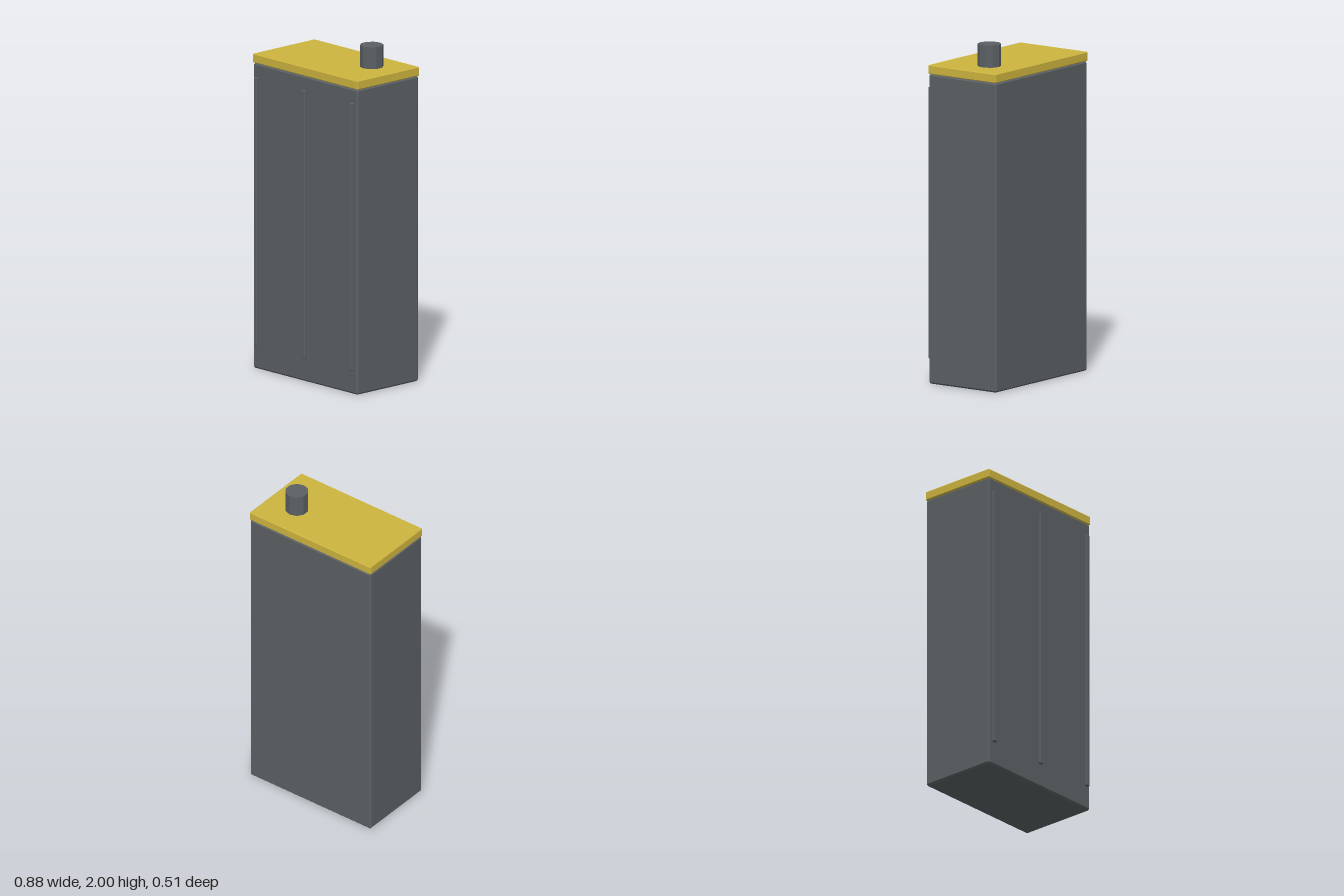
import * as THREE from 'three';
import { ConvexGeometry } from 'three/addons/geometries/ConvexGeometry.js';

const steel = new THREE.MeshStandardMaterial({ color: 0x5b6063 });
const yellow = new THREE.MeshStandardMaterial({ color: 0xcdb43f });

// Box with flat chamfers of size c on every edge.
function chamferBox(w, h, d, c) {
  const points = [];
  for (const sx of [-1, 1]) for (const sy of [-1, 1]) for (const sz of [-1, 1]) {
    const x = w / 2, y = h / 2, z = d / 2;
    points.push(
      new THREE.Vector3(sx * x, sy * (y - c), sz * (z - c)),
      new THREE.Vector3(sx * (x - c), sy * y, sz * (z - c)),
      new THREE.Vector3(sx * (x - c), sy * (y - c), sz * z)
    );
  }
  return new ConvexGeometry(points);
}

export function createModel() {
  const model = new THREE.Group();
  model.name = 'cabinet';

  const add = (name, geometry, material, x, y, z) => {
    const mesh = new THREE.Mesh(geometry, material);
    mesh.name = name;
    mesh.position.set(x, y, z);
    model.add(mesh);
  };

  // Tall cabinet body and its lid, set slightly back from the ribs
  const depth = 0.487, midZ = -0.01;
  add('body', chamferBox(0.88, 1.817, depth, 0.01), steel, 0, 0.9085, midZ);
  add('lid', chamferBox(0.884, 0.053, depth + 0.002, 0.004), yellow, 0, 1.8435, midZ);

  // Three vertical ribs on the front
  const rib = chamferBox(0.027, 1.595, 0.02, 0.004);
  [['rightRib', -0.403], ['middleRib', 0], ['leftRib', 0.403]].forEach(([name, x]) =>
    add(name, rib, steel, x, 0.938, 0.243));

  // Ten-sided stack on the lid
  const stack = new THREE.CylinderGeometry(0.068, 0.068, 0.14, 10).toNonIndexed();
  stack.computeVertexNormals();
  add('stack', stack, steel, 0.246, 1.93, -0.061);

  return model;
}
